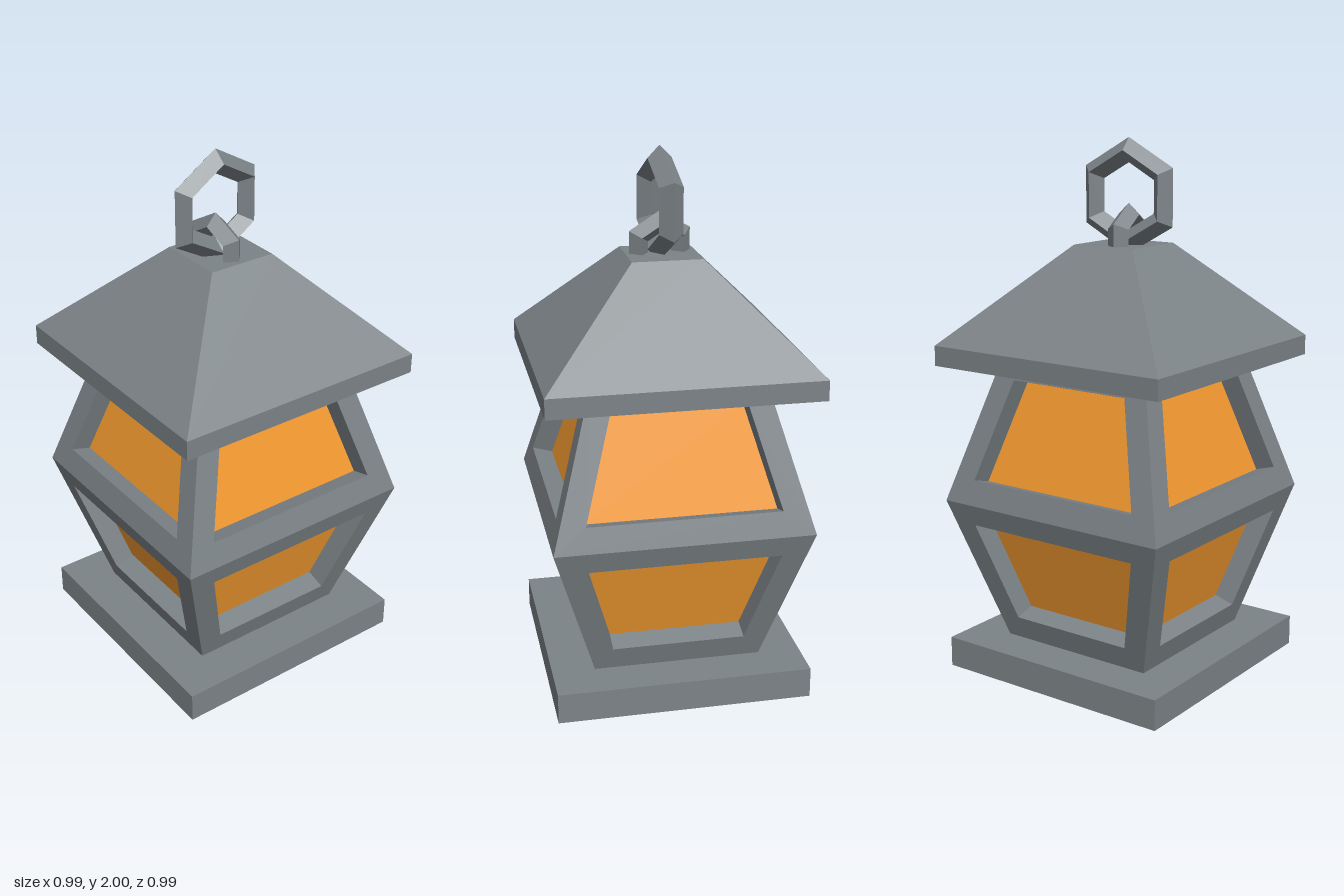
import * as THREE from 'three';

const metal = new THREE.MeshStandardMaterial({ color: 0x7c8387, flatShading: true });
const glass = new THREE.MeshStandardMaterial({ color: 0xf59b30, flatShading: true });

function addMesh(parent, name, geometry, material) {
  const mesh = new THREE.Mesh(geometry, material);
  mesh.name = name;
  parent.add(mesh);
  return mesh;
}

// Square block or pyramid stump between two heights
function block(bottomHalf, topHalf, y0, y1) {
  const g = new THREE.CylinderGeometry(topHalf * Math.SQRT2, bottomHalf * Math.SQRT2, y1 - y0, 4);
  return g.rotateY(Math.PI / 4).translate(0, (y0 + y1) / 2, 0);
}

// Geometry from a list of four-cornered faces
function quads(list) {
  const pos = [];
  for (const [a, b, c, d] of list) for (const p of [a, b, c, a, c, d]) pos.push(p.x, p.y, p.z);
  const g = new THREE.BufferGeometry();
  g.setAttribute('position', new THREE.Float32BufferAttribute(pos, 3));
  g.computeVertexNormals();
  return g;
}

// Band of faces between two four-cornered loops
const band = (a, b) => a.map((p, i) => [p, a[(i + 1) % 4], b[(i + 1) % 4], b[i]]);

// Sloping side with a recessed window; each row is [height, half width]
function windowSide(bottom, top, holeBottom, holeTop, depth) {
  const slope = (top[1] - bottom[1]) / (top[0] - bottom[0]);
  const zAt = (y) => bottom[1] + (y - bottom[0]) * slope;
  const loop = ([y0, w0], [y1, w1]) =>
    [[-w0, y0], [w0, y0], [w1, y1], [-w1, y1]].map(([x, y]) => new THREE.Vector3(x, y, zAt(y)));
  const outer = loop(bottom, top);
  const hole = loop(holeBottom, holeTop);
  const inward = new THREE.Vector3(0, slope, -1).setLength(depth);
  const inset = hole.map((p) => p.clone().add(inward));
  return { frame: quads([...band(outer, hole), ...band(hole, inset)]), pane: quads([inset]) };
}

// Six-sided chain ring with a diamond cross-section
function chainRing(parent, name, radius, tube, y, turn) {
  const g = new THREE.TorusGeometry(radius, tube, 4, 6).rotateZ(Math.PI / 2);
  const ring = addMesh(parent, name, g, metal);
  ring.position.set(-0.022, y, 0);
  ring.rotation.y = turn;
}

export function createModel() {
  const lantern = new THREE.Group();
  lantern.name = 'lantern';

  // Base slab
  addMesh(lantern, 'base', block(0.475, 0.475, 0, 0.115), metal);

  // Four sides, each with a lower and an upper window
  const lower = windowSide([0.115, 0.315], [0.665, 0.477], [0.205, 0.249], [0.583, 0.357], 0.08);
  const upper = windowSide([0.665, 0.477], [1.18, 0.328], [0.757, 0.357], [1.131, 0.249], 0.08);
  for (let i = 0; i < 4; i++) {
    const side = new THREE.Group();
    side.name = 'side';
    side.rotation.y = (i * Math.PI) / 2;
    addMesh(side, 'lowerFrame', lower.frame, metal);
    addMesh(side, 'lowerPane', lower.pane, glass);
    addMesh(side, 'upperFrame', upper.frame, metal);
    addMesh(side, 'upperPane', upper.pane, glass);
    lantern.add(side);
  }

  // Roof
  addMesh(lantern, 'eaves', block(0.495, 0.495, 1.18, 1.255), metal);
  addMesh(lantern, 'roof', block(0.495, 0.13, 1.255, 1.615), metal);

  // Hanging rings
  chainRing(lantern, 'fixedLoop', 0.093, 0.042, 1.63, -Math.PI / 2 + 0.14);
  chainRing(lantern, 'hangingRing', 0.165, 0.045, 1.79, 0.096);

  return lantern;
}
